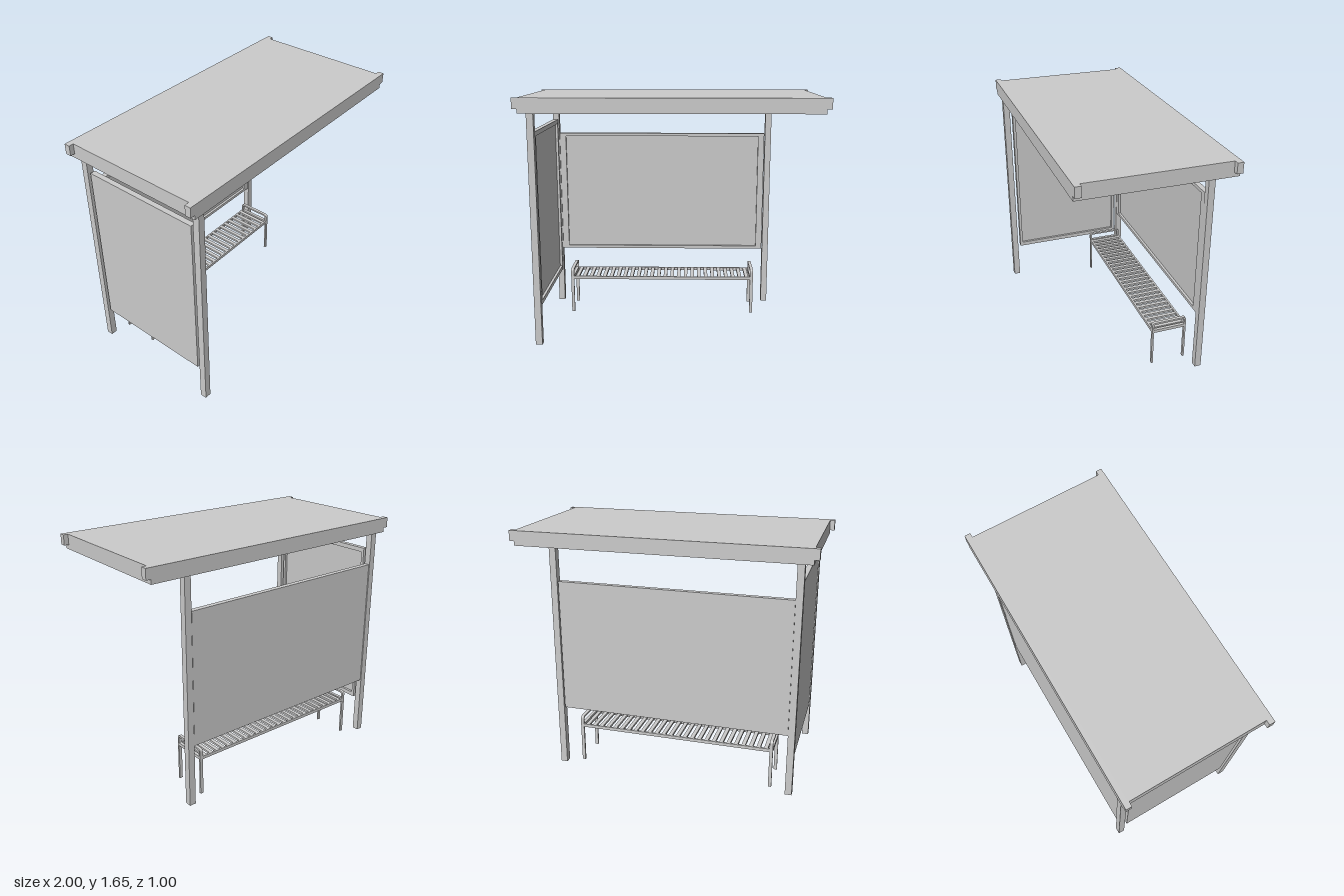
import * as THREE from 'three';

const grey = new THREE.MeshStandardMaterial({ color: 0xcccccc });

// Box given by its min and max corners
function box(parent, name, [x0, y0, z0], [x1, y1, z1]) {
  const mesh = new THREE.Mesh(new THREE.BoxGeometry(x1 - x0, y1 - y0, z1 - z0), grey);
  mesh.position.set((x0 + x1) / 2, (y0 + y1) / 2, (z0 + z1) / 2);
  mesh.name = name;
  parent.add(mesh);
  return mesh;
}

function group(parent, name) {
  const g = new THREE.Group();
  g.name = name;
  parent.add(g);
  return g;
}

// Upright panel in the xy plane: flat sheet behind, raised frame towards +z
function panel(parent, name, width, y0, y1, side, rail) {
  const g = group(parent, name);
  const w = width / 2;
  const d = 0.018;
  box(g, name + 'Sheet', [-w, y0, -d], [w, y1, 0]);
  for (const [a, b] of [[y0, y0 + rail], [y1 - rail, y1]]) box(g, name + 'Rail', [-w, a, 0], [w, b, d]);
  for (const [a, b] of [[-w, -w + side], [w - side, w]]) box(g, name + 'Stile', [a, y0 + rail, 0], [b, y1 - rail, d]);
  return g;
}

// Rounded arch outline, open at the bottom
function archPoints(path, z0, z1, top, r) {
  path.lineTo(z0, top - r);
  path.quadraticCurveTo(z0, top, z0 + r, top);
  path.lineTo(z1 - r, top);
  path.quadraticCurveTo(z1, top, z1, top - r);
  path.lineTo(z1, 0);
}

// Flat-bar hoop that forms two legs and an armrest
function hoopGeometry(z0, z1, top, bar, depth) {
  const s = new THREE.Shape();
  s.moveTo(z0, 0);
  archPoints(s, z0, z1, top, 0.022);
  s.lineTo(z1 - bar, 0);
  s.lineTo(z1 - bar, top - bar - 0.01);
  s.quadraticCurveTo(z1 - bar, top - bar, z1 - bar - 0.01, top - bar);
  s.lineTo(z0 + bar + 0.01, top - bar);
  s.quadraticCurveTo(z0 + bar, top - bar, z0 + bar, top - bar - 0.01);
  s.lineTo(z0 + bar, 0);
  s.closePath();
  const geo = new THREE.ExtrudeGeometry(s, { depth, bevelEnabled: false, curveSegments: 5 });
  geo.translate(0, 0, -depth / 2);
  return geo.rotateY(-Math.PI / 2); // shape x becomes z
}

export function createModel() {
  const model = new THREE.Group();
  model.name = 'busShelter';

  // Posts: two on the right side, one at the back left
  const posts = group(model, 'posts');
  const h = 0.0225;
  for (const [x, z] of [[-0.893, 0.456], [-0.893, -0.456], [0.709, -0.456]]) {
    box(posts, 'post', [x - h, 0, z - h], [x + h, 1.56, z + h]);
  }

  // Back and side panels, frames facing inwards
  panel(model, 'backPanel', 1.55, 0.425, 1.327, 0.045, 0.022).position.set(-0.094, 0, -0.455);
  const side = panel(model, 'sidePanel', 0.825, 0.26, 1.432, 0.02, 0.03);
  side.position.set(-0.893, 0, 0);
  side.rotation.y = Math.PI / 2;

  // Roof deck, fascias with stepped ends, and cross beams
  const roof = group(model, 'roof');
  box(roof, 'roofDeck', [-0.968, 1.615, -0.465], [0.968, 1.652, 0.465]);
  for (const s of [-1, 1]) {
    const z0 = Math.min(s * 0.5, s * 0.46);
    box(roof, 'longFascia', [-1, 1.583, z0], [1, 1.652, z0 + 0.04]);
    box(roof, 'fasciaLip', [-0.968, 1.553, z0], [0.968, 1.583, z0 + 0.04]);
    const x0 = Math.min(s * 0.968, s * 0.928);
    box(roof, 'endFascia', [x0, 1.553, -0.46], [x0 + 0.04, 1.615, 0.46]);
  }
  for (const x of [-0.893, 0.03, 0.709]) {
    box(roof, 'crossBeam', [x - 0.03, 1.555, -0.46], [x + 0.03, 1.615, 0.46]);
  }

  // Bench: end hoops, long rails, end rails and cross slats
  const bench = group(model, 'bench');
  const zBack = -0.412, zFront = -0.16;
  const hoop = hoopGeometry(zBack, zFront, 0.337, 0.013, 0.022);
  for (const x of [-0.759, 0.585]) {
    const m = new THREE.Mesh(hoop, grey);
    m.name = 'benchHoop';
    m.position.x = x;
    bench.add(m);
    box(bench, 'benchEndRail', [x - 0.011, 0.258, zBack + 0.01], [x + 0.011, 0.28, zFront - 0.01]);
  }
  for (const z of [zBack, zFront - 0.013]) {
    box(bench, 'benchLongRail', [-0.75, 0.258, z], [0.576, 0.28, z + 0.013]);
  }
  const slats = 26;
  for (let i = 0; i < slats; i++) {
    const x = -0.748 + 1.322 * (i + 0.5) / slats;
    box(bench, 'benchSlat', [x - 0.013, 0.264, zBack + 0.01], [x + 0.013, 0.279, zFront - 0.01]);
  }
  return model;
}
